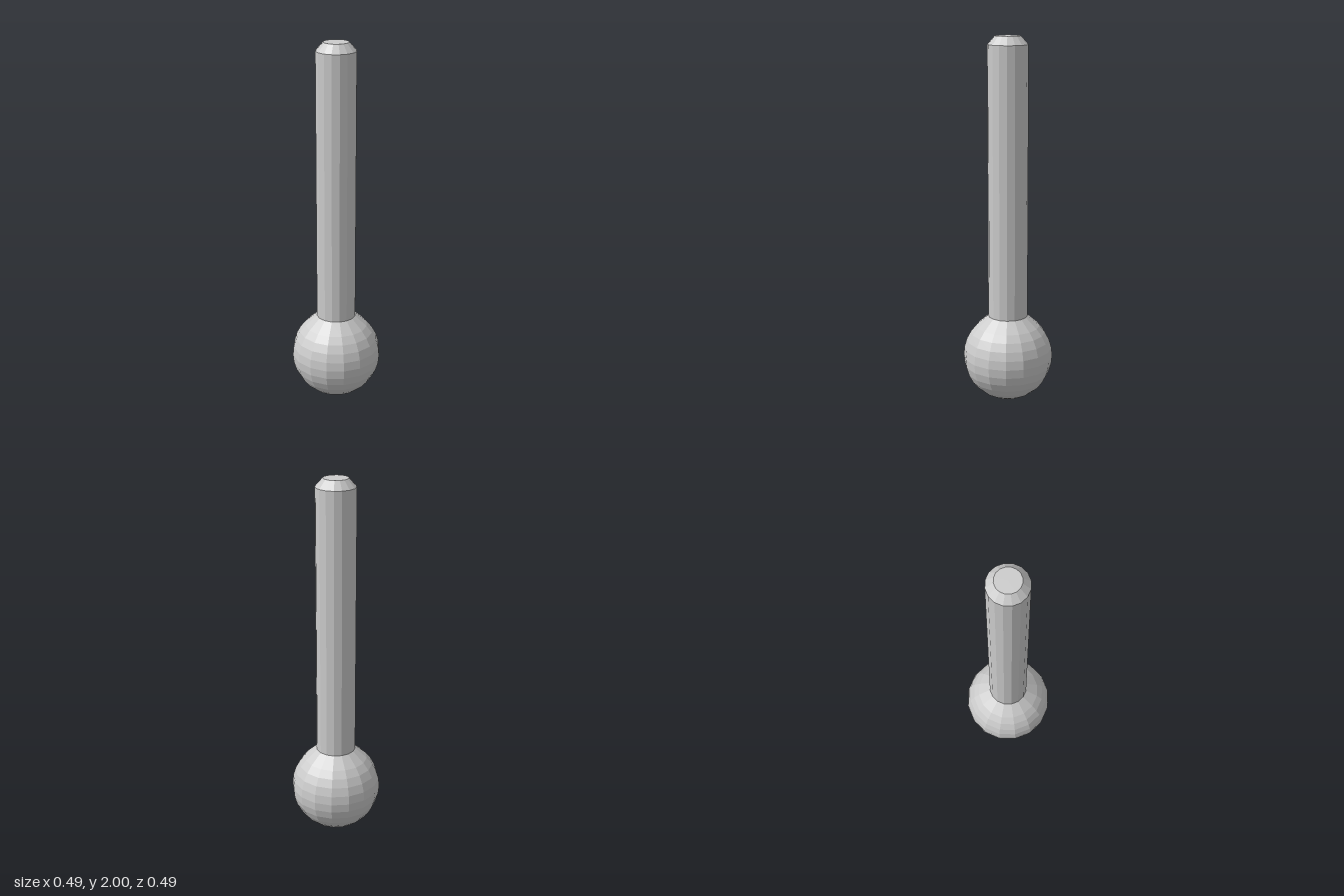
import * as THREE from 'three';

const SIDES = 16;
const BALL_R = 0.246;
const ROD_R = 0.108;
const TIP_R = 0.068;
const NECK_Y = 0.478;

export function createModel() {
  const group = new THREE.Group();
  group.name = 'ballStud';
  const material = new THREE.MeshStandardMaterial({ color: 0xcccccc, flatShading: true });

  const addLathe = (name, points) => {
    const mesh = new THREE.Mesh(new THREE.LatheGeometry(points, SIDES), material);
    mesh.name = name;
    group.add(mesh);
  };

  // Faceted ball: rings from the bottom pole to 45 degrees up, then one band to the neck
  const ball = [];
  for (let i = 0; i <= 12; i++) {
    const a = -Math.PI / 2 + (i * Math.PI) / 16;
    ball.push(new THREE.Vector2(i === 0 ? 0 : BALL_R * Math.cos(a), BALL_R * (1 + Math.sin(a))));
  }
  ball.push(new THREE.Vector2(ROD_R, NECK_Y));
  addLathe('ball', ball);

  // Straight shaft
  addLathe('shaft', [new THREE.Vector2(ROD_R, NECK_Y), new THREE.Vector2(ROD_R, 1.955)]);

  // Chamfered end with its flat cap
  addLathe('chamferedTip', [
    new THREE.Vector2(ROD_R, 1.955),
    new THREE.Vector2(TIP_R, 2),
    new THREE.Vector2(0, 2),
  ]);

  return group;
}
